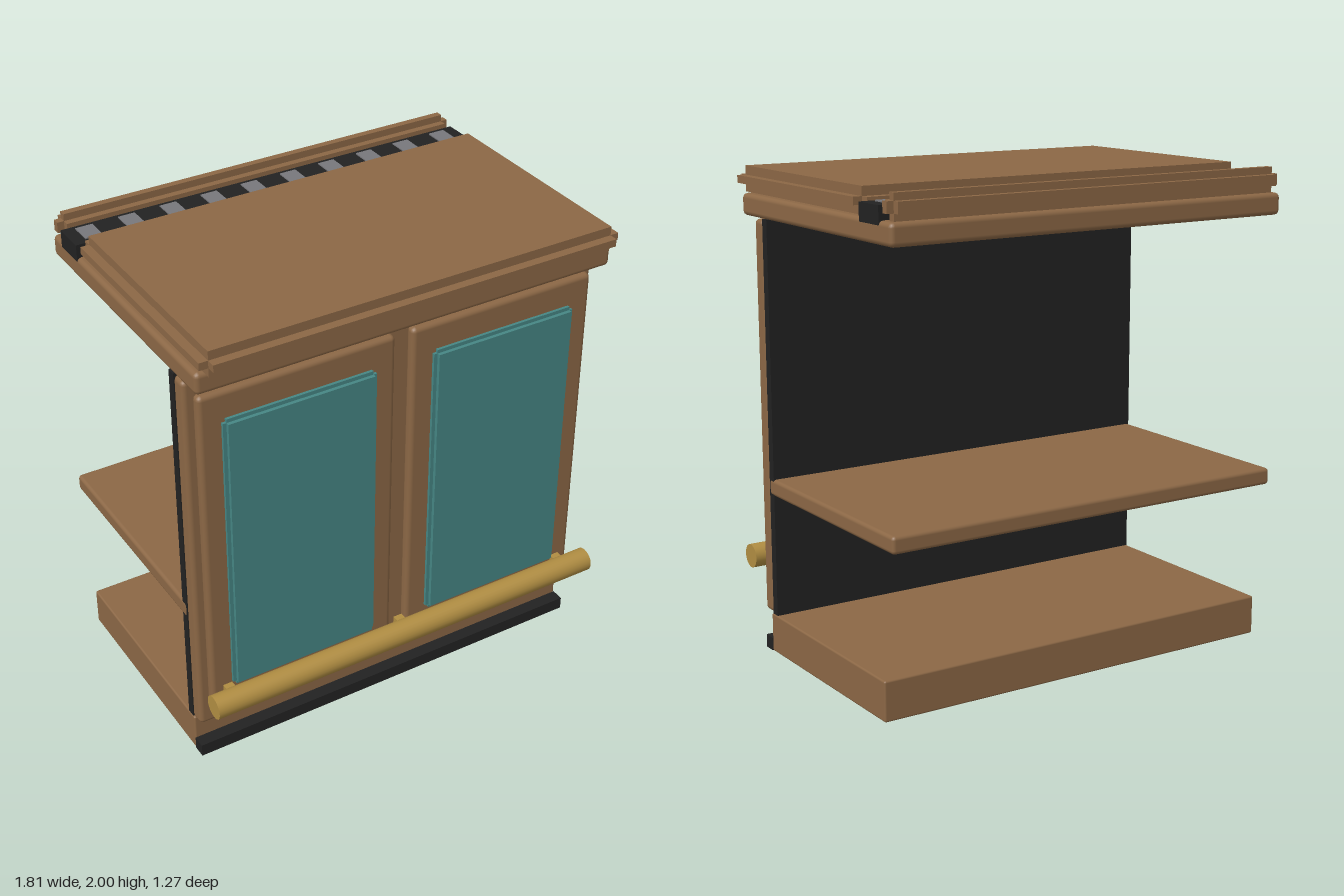
import * as THREE from 'three';
import { RoundedBoxGeometry } from 'three/addons/geometries/RoundedBoxGeometry.js';

function material(name, color) {
  const m = new THREE.MeshStandardMaterial({ color });
  m.name = name;
  return m;
}

export function createModel() {
  const wood = material('wood', 0x8b6745);
  const teal = material('teal', 0x468684);
  const black = material('black', 0x222222);
  const grey = material('grey', 0x77777b);
  const brass = material('brass', 0xb08d42);

  const model = new THREE.Group();
  model.name = 'barCounter';
  const W = 0.905; // half width of the counter

  function add(name, geometry, mat, parent = model) {
    const mesh = new THREE.Mesh(geometry, mat);
    mesh.name = name;
    parent.add(mesh);
    return mesh;
  }

  // Box given by its limits, with rounded edges when r > 0
  function block(name, mat, [x0, x1], [y0, y1], [z0, z1], r = 0, parent = model) {
    const size = [x1 - x0, y1 - y0, z1 - z0];
    const geometry = r > 0 ? new RoundedBoxGeometry(...size, 2, r) : new THREE.BoxGeometry(...size);
    const mesh = add(name, geometry, mat, parent);
    mesh.position.set((x0 + x1) / 2, (y0 + y1) / 2, (z0 + z1) / 2);
    return mesh;
  }

  // Box with a square step of size s cut along every edge
  function steppedBlock(name, mat, x, y, z, s) {
    const group = new THREE.Group();
    group.name = name;
    const inset = ([a, b]) => [a + s, b - s];
    block(name + 'Sides', mat, x, inset(y), inset(z), 0, group);
    block(name + 'Faces', mat, inset(x), y, inset(z), 0, group);
    block(name + 'Ends', mat, inset(x), inset(y), z, 0, group);
    model.add(group);
  }

  // Base and kick strip
  block('plinth', wood, [-W, W], [0, 0.165], [-0.54, 0.4], 0.008);
  block('kickStrip', black, [-W, W], [0, 0.055], [0.4, 0.455]);

  // Front wall, dark lining and shelf
  block('frontWall', wood, [-W, W], [0.168, 1.803], [0.385, 0.456], 0.02);
  block('wallLining', black, [-W + 0.002, W - 0.002], [0.165, 1.806], [0.35, 0.387]);
  block('shelf', wood, [-W, W], [0.677, 0.747], [-0.617, 0.388], 0.015);

  // Raised front panels with teal inlays
  for (const side of [-1, 1]) {
    const span = (a, b) => (side > 0 ? [a, b] : [-b, -a]);
    const label = side > 0 ? 'left' : 'right';
    block(label + 'Panel', wood, span(0.037, 0.87), [0.258, 1.75], [0.455, 0.503], 0.02);
    steppedBlock(label + 'Inlay', teal, span(0.128, 0.78), [0.375, 1.636], [0.478, 0.53], 0.015);
  }

  // Foot rail on short brackets
  const rail = add('footRail', new THREE.CylinderGeometry(0.05, 0.05, 2 * W, 24), brass);
  rail.rotation.z = Math.PI / 2;
  rail.position.set(0, 0.365, 0.582);
  for (const x of [-0.8, 0, 0.8]) {
    block('railBracket', brass, [x - 0.02, x + 0.02], [0.34, 0.382], [0.5, 0.56]);
  }

  // Counter, stepped top slab and rear lip
  block('counter', wood, [-W, W], [1.805, 1.895], [-0.633, 0.565], 0.02);
  steppedBlock('topSlab', wood, [-W, W], [1.895, 2], [-0.4, 0.635], 0.037);
  steppedBlock('rearLip', wood, [-W, W], [1.895, 1.998], [-0.635, -0.547], 0.029);

  // Dark channel with a row of grey tiles
  block('channel', black, [-W, W], [1.878, 1.95], [-0.547, -0.405]);
  for (let i = 0; i < 10; i++) {
    const x = (i - 4.5) * 0.1815;
    block('tile', grey, [x - 0.036, x + 0.036], [1.948, 1.955], [-0.525, -0.431]);
  }

  return model;
}
